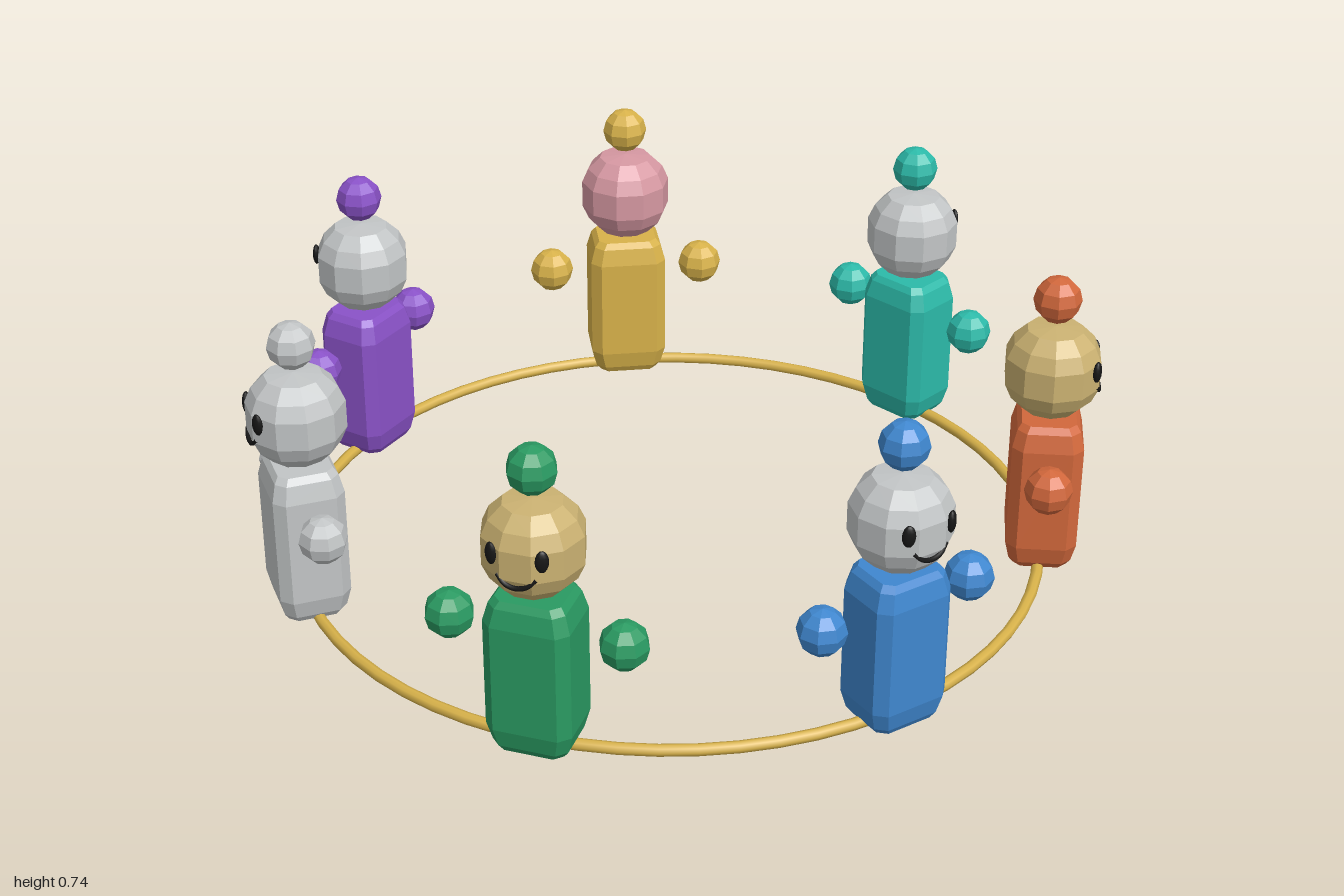
import * as THREE from 'three';

const mat = (name, color) => {
  const m = new THREE.MeshStandardMaterial({ color });
  m.name = name;
  return m;
};

// Faceted normals for the low-poly parts
function facet(geo) {
  const g = geo.index ? geo.toNonIndexed() : geo;
  g.computeVertexNormals();
  return g;
}

// Box-like body with chamfered corners, from stacked eight-sided sections
function bodyGeometry() {
  const w = 0.098, d = 0.083, c = 0.025;
  const ring = [[w, d - c], [w - c, d], [c - w, d], [-w, d - c],
    [-w, c - d], [c - w, -d], [w - c, -d], [w, c - d]];
  const levels = [[0.013, 0.76], [0.03, 0.88], [0.075, 1], [0.335, 1], [0.378, 0.88], [0.393, 0.76]];
  const pos = [], idx = [], n = ring.length;
  for (const [y, s] of levels) for (const [x, z] of ring) pos.push(x * s, y, z * s);
  for (let l = 0; l < levels.length - 1; l++) {
    for (let i = 0; i < n; i++) {
      const a = l * n + i, b = l * n + (i + 1) % n;
      idx.push(a, a + n, b, b, a + n, b + n);
    }
  }
  const top = (levels.length - 1) * n;
  for (let i = 1; i < n - 1; i++) {
    idx.push(0, i, i + 1, top, top + i + 1, top + i);
  }
  const g = new THREE.BufferGeometry();
  g.setAttribute('position', new THREE.Float32BufferAttribute(pos, 3));
  g.setIndex(idx);
  return facet(g);
}

export function createModel() {
  const model = new THREE.Group();
  model.name = 'figureRing';

  const grey = mat('light grey', 0xc2c5c6), tan = mat('tan', 0xcbb272);
  const pink = mat('pink', 0xd698a2), gold = mat('gold', 0xd8b24a);
  const green = mat('green', 0x2a9a62), blue = mat('blue', 0x3f87cf);
  const orange = mat('orange', 0xd2683c), teal = mat('teal', 0x2cbaa9);
  const purple = mat('purple', 0x8a52c8), black = mat('black', 0x161616);

  const body = bodyGeometry();
  const ball = facet(new THREE.SphereGeometry(0.056, 8, 6));
  const headProfile = [[0, -0.107], [0.066, -0.101], [0.097, -0.07], [0.113, -0.034],
    [0.113, 0.034], [0.097, 0.07], [0.066, 0.101], [0, 0.107]];
  const head = facet(new THREE.LatheGeometry(
    headProfile.map(([x, y]) => new THREE.Vector2(x, y)), 10, Math.PI / 10));
  const eye = new THREE.SphereGeometry(1, 10, 8);
  const smile = new THREE.TubeGeometry(new THREE.CatmullRomCurve3([
    new THREE.Vector3(-0.043, 0.488, 0.1), new THREE.Vector3(-0.024, 0.47, 0.107),
    new THREE.Vector3(0, 0.464, 0.109), new THREE.Vector3(0.024, 0.47, 0.107),
    new THREE.Vector3(0.043, 0.488, 0.1)]), 16, 0.0055, 6);

  function add(parent, name, geo, material, x = 0, y = 0, z = 0) {
    const m = new THREE.Mesh(geo, material);
    m.name = name;
    m.position.set(x, y, z);
    parent.add(m);
    return m;
  }

  function figure(clothes, skin) {
    const f = new THREE.Group();
    add(f, 'body', body, clothes);
    add(f, 'head', head, skin, 0, 0.512, 0);
    add(f, 'hatBall', ball, clothes, 0, 0.687, 0);
    for (const s of [1, -1]) {
      const side = s > 0 ? 'left' : 'right';
      add(f, side + 'Hand', ball, clothes, s * 0.197, 0.297, 0);
      const e = add(f, side + 'Eye', eye, black, s * 0.056, 0.533, 0.099);
      e.scale.set(0.015, 0.026, 0.009);
      e.rotation.y = s * 0.5;
    }
    add(f, 'smile', smile, black);
    return f;
  }

  // Ring on the ground
  const R = 0.89, cz = -0.04;
  const hoop = add(model, 'hoop', new THREE.TorusGeometry(R, 0.014, 8, 64), gold, 0, 0.014, cz);
  hoop.rotation.x = Math.PI / 2;

  // Seven figures, all facing outwards
  const people = [['green', green, tan], ['blue', blue, grey], ['orange', orange, tan],
    ['teal', teal, grey], ['gold', gold, pink], ['purple', purple, grey], ['grey', grey, grey]];
  people.forEach(([name, clothes, skin], i) => {
    const a = i * Math.PI * 2 / people.length;
    const f = figure(clothes, skin);
    f.name = name + 'Figure';
    f.position.set(Math.sin(a) * R, 0, Math.cos(a) * R + cz);
    f.rotation.y = a;
    model.add(f);
  });
  return model;
}
